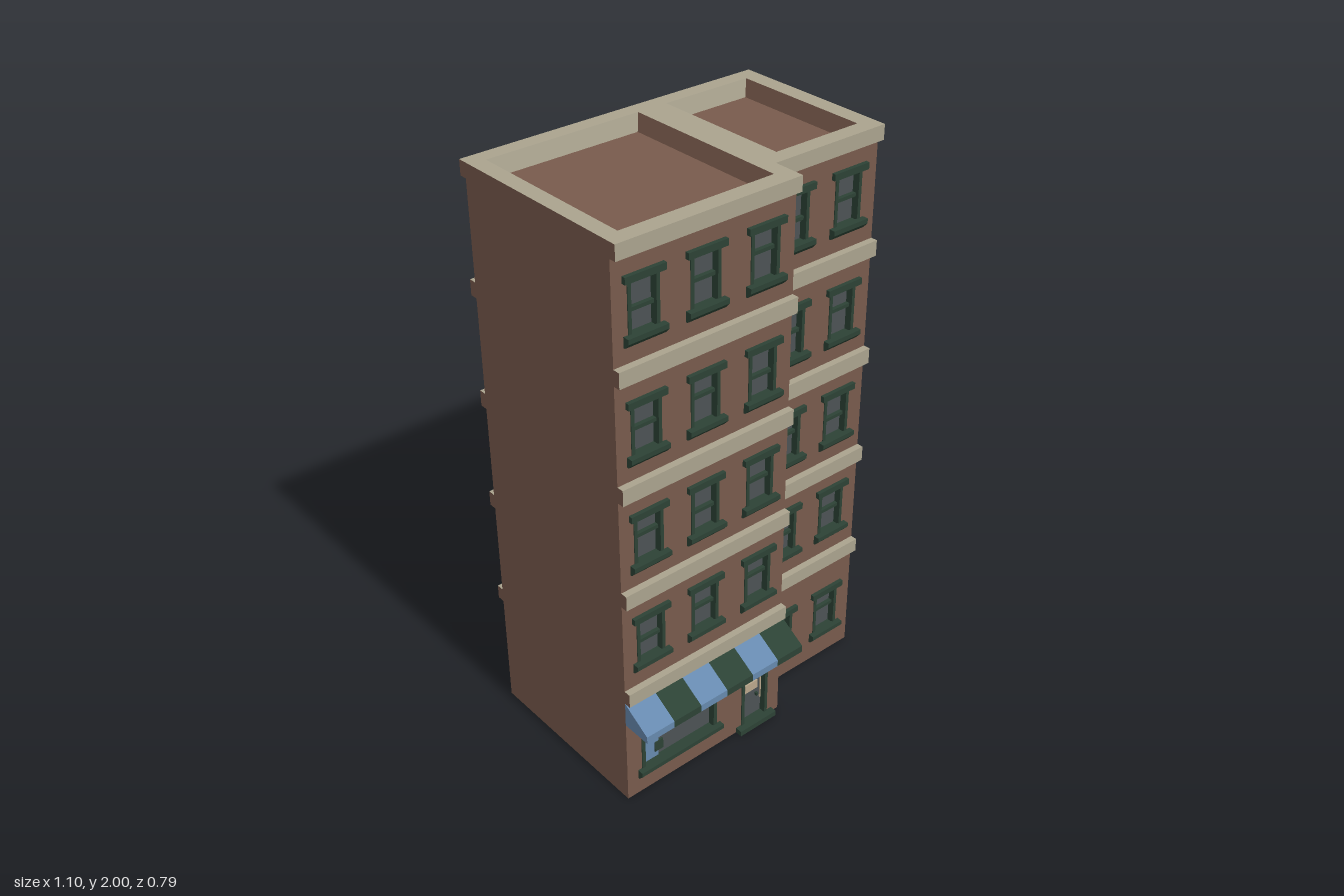
import * as THREE from 'three';

const mat = (name, color, side = THREE.FrontSide) => {
  const m = new THREE.MeshStandardMaterial({ color, side });
  m.name = name;
  return m;
};

export function createModel() {
  const D = THREE.DoubleSide;
  const brick = mat('brick brown', 0x785a4c, D);
  const stone = mat('pale stone', 0xaaa38e, D);
  const green = mat('dark green', 0x2c4235);
  const blue = mat('awning blue', 0x6689ae);
  const glass = mat('grey glass', 0x4c5254, D);
  const tan = mat('tan trim', 0xb9a78b);

  const model = new THREE.Group();
  model.name = 'cornerShopBuilding';
  const add = (name, geo, m, x = 0, y = 0, z = 0, parent = model) => {
    const mesh = new THREE.Mesh(geo, m);
    mesh.name = name;
    mesh.position.set(x, y, z);
    parent.add(mesh);
    return mesh;
  };
  // Box given by its limits
  const box = (name, m, x0, x1, y0, y1, z0, z1, parent = model) =>
    add(name, new THREE.BoxGeometry(x1 - x0, y1 - y0, z1 - z0), m,
      (x0 + x1) / 2, (y0 + y1) / 2, (z0 + z1) / 2, parent);
  const rect = (x0, x1, y0, y1, Type = THREE.Shape) => new Type(
    [[x0, y0], [x1, y0], [x1, y1], [x0, y1]].map(p => new THREE.Vector2(...p)));
  const quad = (name, m, a, b, c, d) => {
    const g = new THREE.BufferGeometry();
    g.setAttribute('position', new THREE.Float32BufferAttribute([a, b, c, a, c, d].flat(), 3));
    g.computeVertexNormals();
    return add(name, g, m);
  };
  // Constant (z, y) profile swept along x
  const sweep = (name, m, profile, x0, x1, y, z, parent = model) => {
    const s = new THREE.Shape(profile.map(([pz, py]) => new THREE.Vector2(-pz, py)));
    const g = new THREE.ExtrudeGeometry(s, { depth: x1 - x0, bevelEnabled: false });
    g.rotateY(Math.PI / 2);
    return add(name, g, m, x0, y, z, parent);
  };

  const BACK = -0.37;
  const blocks = [
    { side: 'right', x0: -0.55, x1: 0.11, front: 0.29, cols: [-0.442, -0.224, -0.003], rows: [0.522, 0.903, 1.286, 1.673] },
    { side: 'left', x0: 0.11, x1: 0.55, front: 0.18, cols: [0.217, 0.434], rows: [0.083, 0.522, 0.903, 1.286, 1.673] },
  ];
  const bands = [[0.415, 0.465], [0.8, 0.853], [1.18, 1.235], [1.567, 1.62], [1.95, 2]];
  const sill = [[0, 0], [0.006, 0], [0.022, 0.018], [0.022, 0.034], [0, 0.034]];

  // Frame ring, sill and lintel shared by the windows and the shop front
  function opening(name, x, y, z, half, h, trim, over) {
    const g = new THREE.Group();
    g.name = name;
    g.position.set(x, y, z);
    model.add(g);
    const ring = rect(-half, half, 0.01, h - 0.01);
    ring.holes.push(rect(-half + trim, half - trim, 0.03, h - 0.022, THREE.Path));
    add('frame', new THREE.ExtrudeGeometry(ring, { depth: 0.034, bevelEnabled: false }), green, 0, 0, -0.031, g);
    add('pane', new THREE.PlaneGeometry(2 * half - trim, h - 0.04), glass, 0, h / 2, -0.022, g);
    box('lintel', green, -half - over, half + over, h - 0.022, h, -0.01, 0.014, g);
    sweep('sill', green, sill, -half - over, half + over, 0, 0, g);
    return g;
  }

  blocks.forEach((b, bi) => {
    // Front wall pierced for its openings
    const wall = rect(b.x0, b.x1, 0, 2);
    b.cols.forEach((x, ci) => b.rows.forEach((y, ri) => {
      wall.holes.push(rect(x - 0.055, x + 0.055, y + 0.01, y + 0.205, THREE.Path));
      const w = opening('window', x, y, b.front, 0.055, 0.215, 0.012, 0.016);
      const bar = 0.105 + 0.01 * ((ci + 2 * ri + bi) % 3 - 1);
      box('sashBar', green, -0.045, 0.045, bar, bar + 0.012, -0.024, -0.008, w);
    }));
    if (bi === 0) {
      wall.holes.push(rect(-0.49, -0.172, 0.075, 0.29, THREE.Path));
      wall.holes.push(rect(-0.06, 0.056, 0.004, 0.29, THREE.Path));
    }
    add(b.side + 'FrontWall', new THREE.ShapeGeometry(wall), brick, 0, 0, b.front);

    // Stone courses with brick ends
    const faces = [brick, brick, stone, stone, stone, stone];
    bands.forEach(([y0, y1]) => {
      box('frontBand', faces, b.x0, b.x1, y0, y1, b.front, b.front + 0.024);
      box('backBand', faces, b.x0, b.x1, y0, y1, BACK - 0.027, BACK);
    });
  });

  // Side, step and back walls
  const wallX = (name, x, z0, z1) => quad(name, brick,
    ...(x > 0 ? [[x, 0, z1], [x, 0, z0], [x, 2, z0], [x, 2, z1]]
      : [[x, 0, z0], [x, 0, z1], [x, 2, z1], [x, 2, z0]]));
  wallX('rightSideWall', -0.55, BACK, 0.29);
  wallX('leftSideWall', 0.55, BACK, 0.18);
  wallX('stepWall', 0.11, 0.18, 0.29);
  quad('backWall', brick, [0.55, 0, BACK], [-0.55, 0, BACK], [-0.55, 2, BACK], [0.55, 2, BACK]);

  // Parapet top with two sunken roofs
  const rim = new THREE.Shape([[-0.55, 0.397], [-0.55, -0.314], [0.11, -0.314], [0.11, -0.204], [0.55, -0.204], [0.55, 0.397]]
    .map(p => new THREE.Vector2(...p)));
  [[-0.495, 0.054, -0.344, 0.256], [0.164, 0.491, -0.344, 0.148]].forEach(([x0, x1, z0, z1]) => {
    rim.holes.push(rect(x0, x1, -z1, -z0, THREE.Path));
    const i = 0.014, f = 1.945;
    const T = [[x0, 2, z1], [x1, 2, z1], [x1, 2, z0], [x0, 2, z0]];
    const F = [[x0 + i, f, z1 - i], [x1 - i, f, z1 - i], [x1 - i, f, z0 + i], [x0 + i, f, z0 + i]];
    for (let k = 0; k < 4; k++) {
      const n = (k + 1) % 4;
      quad('parapetInside', k % 2 ? brick : stone, T[k], T[n], F[n], F[k]);
    }
    quad('roof', brick, ...F);
  });
  const rimGeo = new THREE.ShapeGeometry(rim);
  rimGeo.rotateX(-Math.PI / 2);
  add('parapetTop', rimGeo, stone, 0, 2, 0);

  // Striped awning
  const awning = [[0, 0], [0.107, 0], [0.107, 0.026], [0, 0.09]];
  for (let i = 0; i < 6; i++) {
    sweep('awningStripe', i % 2 ? green : blue, awning, -0.55 + i * 0.11, -0.44 + i * 0.11, 0.324, 0.29);
  }

  // Shop window with a poster
  const shop = opening('shopWindow', -0.331, 0.065, 0.29, 0.159, 0.232, 0.014, 0.016);
  box('poster', blue, -0.131, -0.078, 0.032, 0.145, -0.021, -0.015, shop);
  const tag = box('posterTag', green, -0.135, -0.083, 0.15, 0.19, -0.02, -0.012, shop);
  tag.rotation.z = 0.15;
  box('posterTag', green, -0.094, -0.06, 0.055, 0.095, -0.02, -0.012, shop);

  // Door
  const door = new THREE.Group();
  door.name = 'door';
  door.position.set(-0.002, 0, 0.29);
  model.add(door);
  for (const s of [-1, 1]) {
    box('doorPost', green, s * 0.052 - 0.006, s * 0.052 + 0.006, 0, 0.28, -0.031, 0.004, door);
    box('doorTrim', tan, s * 0.042 - 0.002, s * 0.042 + 0.002, 0.08, 0.236, -0.021, -0.014, door);
  }
  box('doorTrim', tan, -0.044, 0.044, 0.232, 0.236, -0.021, -0.014, door);
  box('doorLintel', green, -0.072, 0.072, 0.276, 0.298, -0.01, 0.014, door);
  box('transom', blue, -0.046, 0.046, 0.24, 0.277, -0.024, -0.018, door);
  box('doorLeaf', glass, -0.046, 0.046, 0.018, 0.24, -0.026, -0.019, door);
  box('doorSign', tan, -0.028, 0.028, 0.133, 0.167, -0.019, -0.014, door);
  box('doorHandle', green, 0.02, 0.028, 0.1, 0.112, -0.02, -0.01, door);
  box('doorStep', green, -0.08, 0.08, 0, 0.02, -0.03, 0.026, door);

  // Odd-coloured bricks, in staggered pairs
  for (const [z, y, s] of [[-0.018, 1.68, 1], [-0.018, 0.912, 1], [-0.182, 0.142, -1]]) {
    for (const k of [-1, 1]) {
      box('oddBrick', green, 0.548, 0.552, y + k * 0.021 - 0.012, y + k * 0.021 + 0.012,
        z - k * s * 0.017 - 0.026, z - k * s * 0.017 + 0.026);
    }
  }
  for (const [x, y, m] of [[0.176, 1.4, green], [0.176, 0.62, green], [-0.374, 0.126, blue]]) {
    for (const k of [-1, 1]) {
      box('oddBrick', m, x - k * 0.017 - 0.026, x - k * 0.017 + 0.026,
        y + k * 0.021 - 0.012, y + k * 0.021 + 0.012, BACK - 0.003, BACK + 0.001);
    }
  }
  box('oddBrick', green, -0.425, -0.33, 1.176, 1.182, 0.289, 0.293);

  return model;
}
